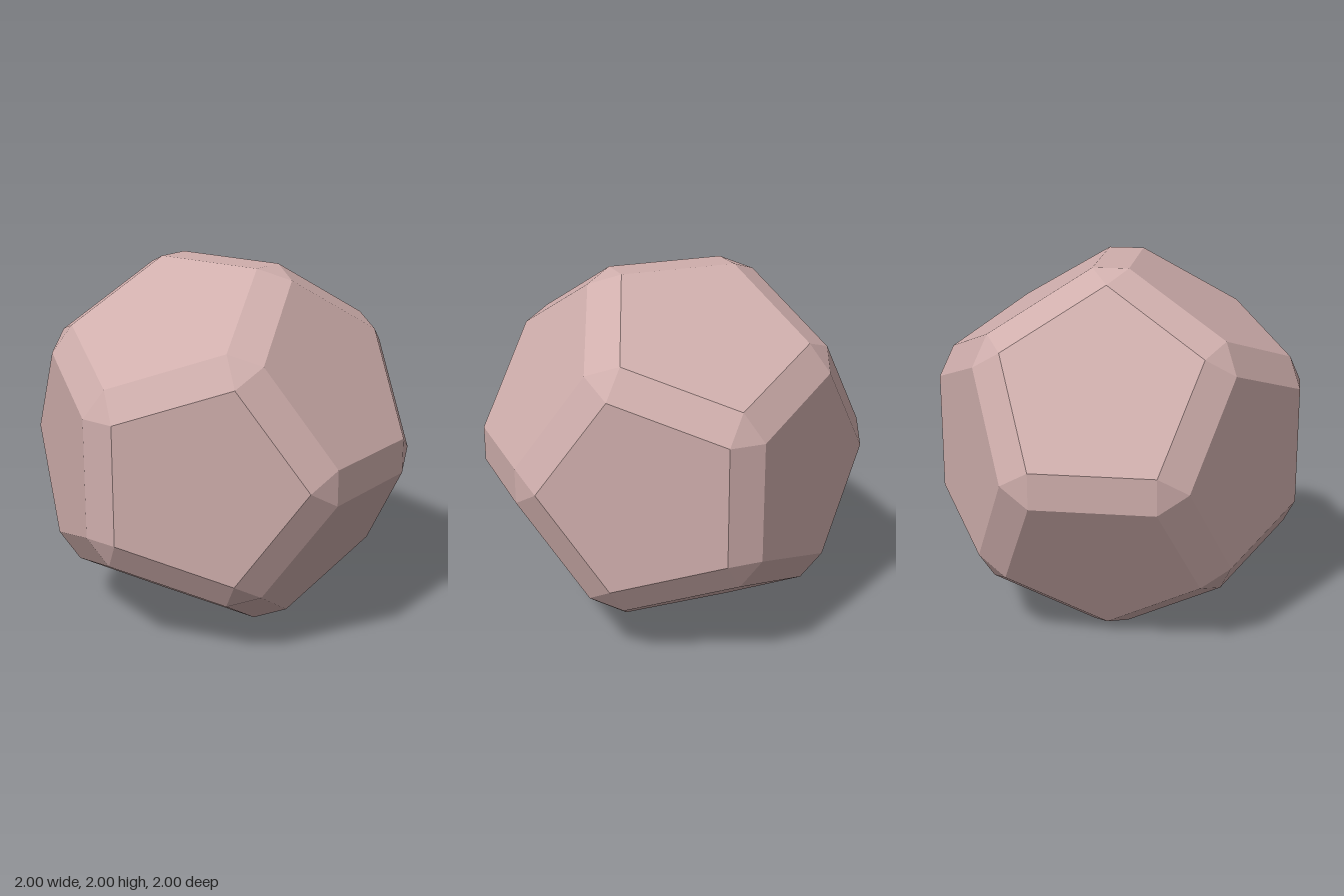
import * as THREE from 'three';
import { ConvexGeometry } from 'three/addons/geometries/ConvexGeometry.js';

const PHI = (1 + Math.sqrt(5)) / 2;
const FACE_DISTANCE = 0.9013; // centre of the solid to each pentagon
const FACE_RADIUS = 0.5485;   // centre of a pentagon to its corners

// Corners of one pentagon, pointing towards `up` in the plane facing `normal`
function pentagon(normal, up) {
  const side = new THREE.Vector3().crossVectors(up, normal);
  return Array.from({ length: 5 }, (_, i) => {
    const a = (i * 2 * Math.PI) / 5;
    return normal.clone().multiplyScalar(FACE_DISTANCE)
      .addScaledVector(up, FACE_RADIUS * Math.cos(a))
      .addScaledVector(side, FACE_RADIUS * Math.sin(a));
  });
}

export function createModel() {
  const group = new THREE.Group();
  group.name = 'bevelledDodecahedron';

  // Twelve pentagons: four sign choices for each cyclic order of the axes
  const corners = [];
  const cycle = (x, y, z, k) => new THREE.Vector3(...[[x, y, z], [z, x, y], [y, z, x]][k]).normalize();
  for (let k = 0; k < 3; k++) {
    for (const sy of [1, -1]) {
      for (const sz of [1, -1]) {
        corners.push(...pentagon(cycle(0, sy, sz * PHI, k), cycle(0, sy * PHI, -sz, k)));
      }
    }
  }

  // The hull adds the flat edge bevels and the small corner triangles
  const body = new THREE.Mesh(
    new ConvexGeometry(corners),
    new THREE.MeshStandardMaterial({ color: 0xcfaeac, flatShading: true })
  );
  body.name = 'bevelledBody';
  body.position.y = 1;
  group.add(body);
  return group;
}
